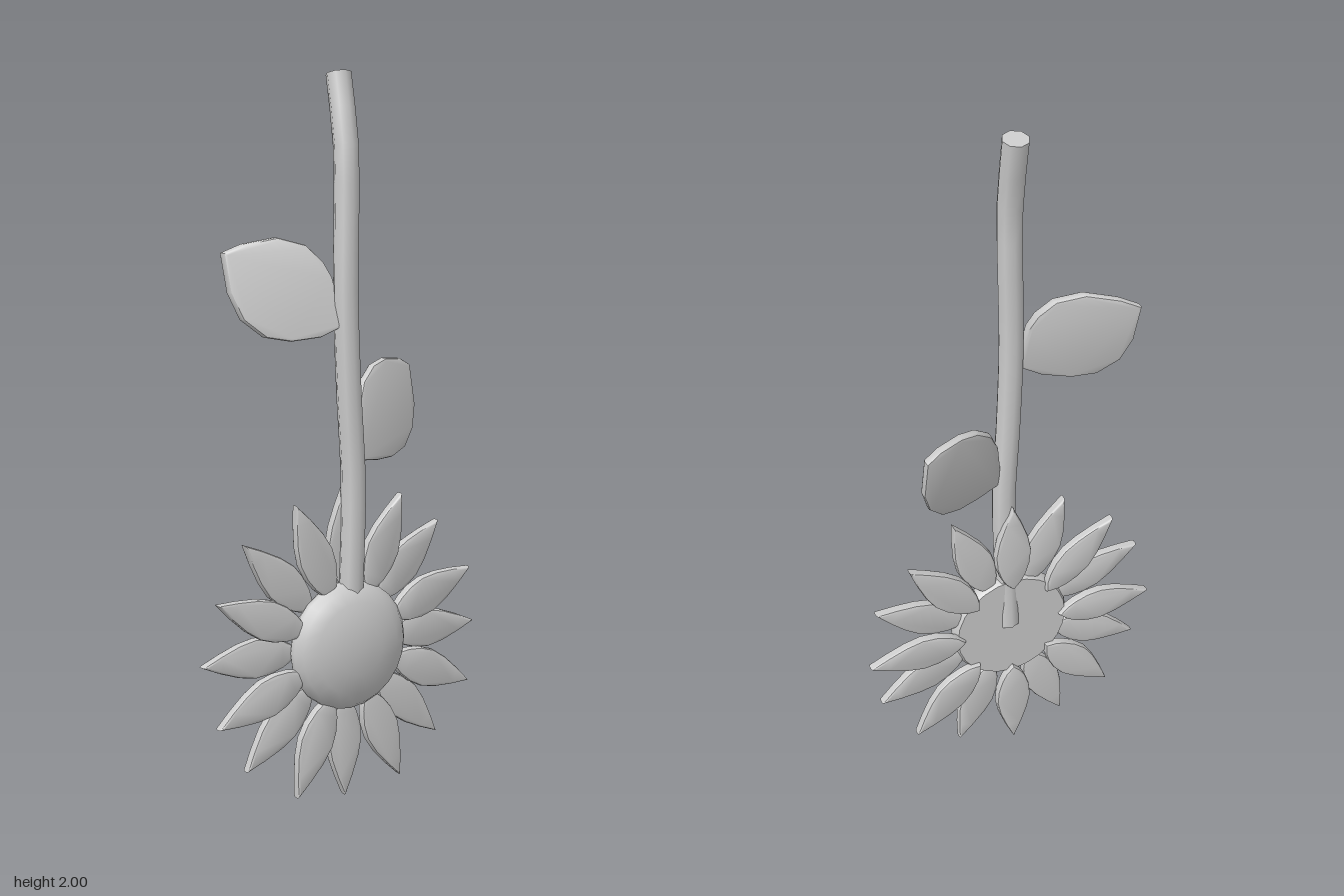
import * as THREE from 'three';
import { toCreasedNormals } from 'three/addons/utils/BufferGeometryUtils.js';

const CENTER_Y = 0.445;

// Flat plate with rounded edges, lying in the xy plane around z = 0
function plate(points, thickness) {
  const shape = new THREE.Shape(points.map(([x, y]) => new THREE.Vector2(x, y)));
  const bevel = 0.008;
  const geo = new THREE.ExtrudeGeometry(shape, {
    depth: thickness - 2 * bevel, steps: 1, curveSegments: 1,
    bevelEnabled: true, bevelThickness: bevel, bevelSize: bevel,
    bevelOffset: -bevel, bevelSegments: 2,
  });
  geo.translate(0, 0, bevel - thickness / 2);
  return geo;
}

export function createModel() {
  const model = new THREE.Group();
  model.name = 'flower';
  const grey = new THREE.MeshStandardMaterial({ color: 0xcccccc });
  grey.name = 'light grey';

  const add = (geo, name, parent = model) => {
    const mesh = new THREE.Mesh(geo, grey);
    mesh.name = name;
    parent.add(mesh);
    return mesh;
  };

  // Domed flower centre with a flat back
  const profile = [[0, 0.016], [0.172, 0.016], [0.182, 0.035], [0.181, 0.052],
    [0.165, 0.073], [0.13, 0.092], [0.07, 0.107], [0, 0.111]];
  const dome = new THREE.LatheGeometry(profile.map(([r, h]) => new THREE.Vector2(r, h)), 24);
  dome.rotateX(Math.PI / 2);
  add(toCreasedNormals(dome, 0.7), 'flowerCentre').position.y = CENTER_Y;

  // Two staggered rings of eight petals
  const side = [[0.175, 0.024], [0.2, 0.038], [0.24, 0.051], [0.285, 0.055],
    [0.335, 0.045], [0.39, 0.025]];
  const outline = [[0.15, 0], ...side.map(([x, y]) => [x, -y]), [0.445, 0], ...side.slice().reverse()];
  const petalGeo = toCreasedNormals(plate(outline, 0.03), 0.7);
  const petals = new THREE.Group();
  petals.name = 'petals';
  model.add(petals);
  for (let i = 0; i < 16; i++) {
    const back = i % 2 === 0;
    const petal = add(petalGeo, back ? 'backPetal' : 'frontPetal', petals);
    petal.position.set(0, CENTER_Y, back ? 0.015 : 0.041);
    petal.rotation.z = (i * Math.PI) / 8;
  }

  // Gently curving stem
  const path = new THREE.CatmullRomCurve3([
    [0.005, 0.45, 0.038], [0.006, 0.6, 0.045], [0.012, 0.9, 0.047], [-0.002, 1.15, 0.046],
    [-0.01, 1.4, 0.043], [-0.006, 1.62, 0.039], [-0.002, 1.8, 0.031], [0, 1.994, -0.009],
  ].map((p) => new THREE.Vector3(...p)));
  const sides = 8, rings = 16;
  const tube = new THREE.TubeGeometry(path, rings, 0.035, sides, false);
  add(tube, 'stem');

  // Flat caps fanned from the end rings of the stem
  for (const top of [false, true]) {
    const start = top ? rings * (sides + 1) : 0;
    const verts = [];
    for (let i = 0; i < sides; i++) {
      verts.push(new THREE.Vector3().fromBufferAttribute(tube.attributes.position, start + i));
    }
    const normal = path.getTangentAt(top ? 1 : 0).multiplyScalar(top ? 1 : -1);
    const turn = verts[1].clone().sub(verts[0]).cross(verts[2].clone().sub(verts[0]));
    if (turn.dot(normal) < 0) verts.reverse();
    const cap = new THREE.BufferGeometry().setFromPoints(verts);
    const index = [];
    for (let i = 1; i < sides - 1; i++) index.push(0, i, i + 1);
    cap.setIndex(index);
    cap.computeVertexNormals();
    add(cap, top ? 'stemTop' : 'stemBottom');
  }

  // Leaves swept backwards and outwards by a shear
  function leaf(name, points, dir, baseY) {
    const geo = plate(points, 0.032);
    const pos = geo.attributes.position;
    for (let i = 0; i < pos.count; i++) {
      const out = dir * pos.getX(i) - 0.05;
      pos.setZ(i, pos.getZ(i) + 0.04 - 0.39 * out - 0.19 * (pos.getY(i) - baseY));
    }
    add(toCreasedNormals(geo, 0.6), name);
  }
  leaf('leftLeaf', [[0.03, 0.962], [0.105, 0.953], [0.17, 0.953], [0.23, 0.972], [0.275, 1.02],
    [0.296, 1.085], [0.291, 1.198], [0.25, 1.218], [0.18, 1.224], [0.125, 1.21],
    [0.075, 1.17], [0.046, 1.11], [0.032, 1.03]], 1, 0.96);
  leaf('rightLeaf', [[-0.307, 1.525], [-0.3, 1.42], [-0.275, 1.35], [-0.222, 1.303],
    [-0.16, 1.292], [-0.085, 1.302], [-0.03, 1.328], [-0.033, 1.4], [-0.042, 1.46],
    [-0.06, 1.5], [-0.1, 1.545], [-0.17, 1.565], [-0.254, 1.548]], -1, 1.31);

  return model;
}
